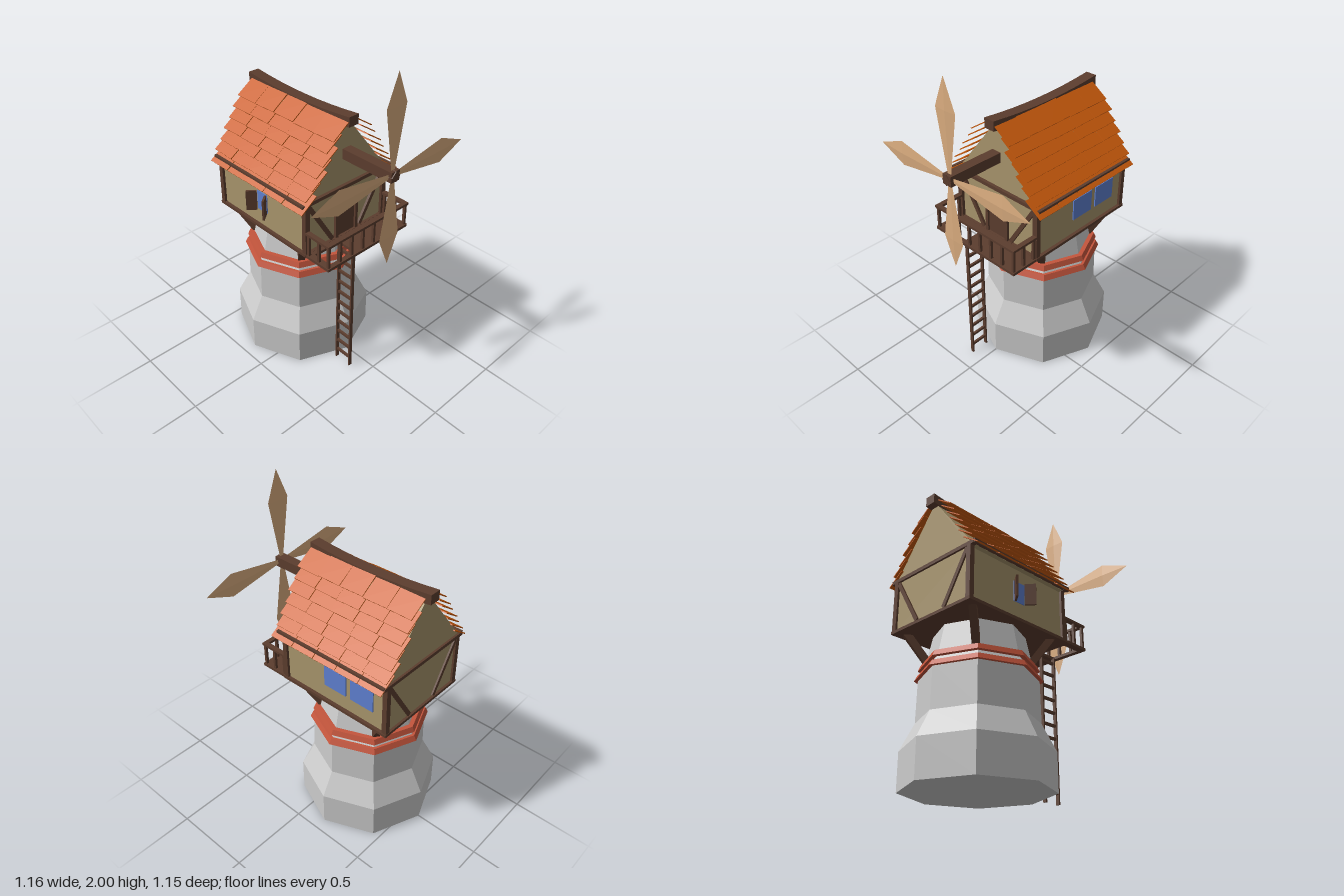
import * as THREE from 'three';

const mat = (color) => new THREE.MeshStandardMaterial({ color, flatShading: true });

export function createModel() {
  const model = new THREE.Group();
  const stone = mat(0xcccccc), wood = mat(0x5c3d2e), plaster = mat(0xa8956c);
  const tileMat = mat(0xc85a0c), brick = mat(0xc4553c), glass = mat(0x5f80d0), sailMat = mat(0xdcae80);

  const add = (name, geo, material, x = 0, y = 0, z = 0, parent = model) => {
    const m = new THREE.Mesh(geo, material);
    m.name = name;
    m.position.set(x, y, z);
    parent.add(m);
    return m;
  };
  const group = (name) => {
    const g = new THREE.Group();
    g.name = name;
    model.add(g);
    return g;
  };
  // box given by its minimum and maximum corners
  const span = (name, material, x0, x1, y0, y1, z0, z1, parent) =>
    add(name, new THREE.BoxGeometry(x1 - x0, y1 - y0, z1 - z0), material,
      (x0 + x1) / 2, (y0 + y1) / 2, (z0 + z1) / 2, parent);
  // square timber between two points
  const beam = (name, a, b, t, parent) => {
    const p = new THREE.Vector3(...a), q = new THREE.Vector3(...b);
    const m = add(name, new THREE.BoxGeometry(t, t, p.distanceTo(q)), wood, 0, 0, 0, parent);
    m.position.copy(p).lerp(q, 0.5);
    m.lookAt(q);
    return m;
  };
  let seed = 7;
  const jitter = (s) => {
    seed = (seed * 16807) % 2147483647;
    return (seed / 2147483647 - 0.5) * s;
  };

  // octagonal stone tower with two brick bands
  const cx = -0.155;
  const profile = [[0, 0], [0.425, 0], [0.425, 0.22], [0.345, 0.375], [0.34, 0.63], [0.305, 0.7], [0.265, 0.89], [0, 0.89]]
    .map(([r, y]) => new THREE.Vector2(r, y));
  add('tower', new THREE.LatheGeometry(profile, 8), stone, cx);
  add('lowerBand', new THREE.CylinderGeometry(0.345, 0.362, 0.033, 8), brick, cx, 0.635);
  add('upperBand', new THREE.CylinderGeometry(0.33, 0.343, 0.033, 8), brick, cx, 0.695);

  // struts from tower to house
  for (const sx of [-1, 1]) for (const sz of [-1, 1])
    beam('strut', [cx + sx * 0.21, 0.72, sz * 0.195], [cx + sx * 0.315, 0.9, sz * 0.275], 0.042);

  // house body with gables
  const outline = new THREE.Shape([[-0.305, 0.9], [0.305, 0.9], [0.305, 1.21], [0.33, 1.215], [0, 1.635], [-0.33, 1.215], [-0.305, 1.21]]
    .map(([z, y]) => new THREE.Vector2(z, y)));
  const body = new THREE.ExtrudeGeometry(outline, { depth: 0.745, bevelEnabled: false });
  body.rotateY(Math.PI / 2);
  add('walls', body, plaster, -0.525);
  span('houseFloor', wood, -0.54, 0.24, 0.885, 0.903, -0.325, 0.325);

  // timber frame
  const frame = group('timberFrame');
  for (const sz of [-1, 1]) {
    for (const x of [-0.523, 0.223]) {
      span('cornerPost', wood, x - 0.015, x + 0.015, 0.9, 1.22, sz * 0.305 - 0.016, sz * 0.305 + 0.016, frame);
      beam('brace', [x, 1.205, sz * 0.29], [x, 0.91, sz * 0.11], 0.025, frame);
    }
    span('eaveBeam', wood, -0.535, 0.25, 1.213, 1.238, sz * 0.342 - 0.009, sz * 0.342 + 0.009, frame);
  }
  for (const x of [-0.523, 0.225])
    span('gableBeam', wood, x - 0.015, x + 0.015, 1.212, 1.234, -0.345, 0.345, frame);

  // door onto the balcony
  span('door', wood, 0.21, 0.226, 0.9, 1.15, -0.07, 0.07);
  for (const s of [-1, 1]) span('doorJamb', wood, 0.215, 0.238, 0.9, 1.16, s * 0.078 - 0.01, s * 0.078 + 0.01);
  span('doorLintel', wood, 0.215, 0.238, 1.14, 1.162, -0.088, 0.088);

  // windows and open shutters
  span('frontWindow', glass, -0.19, -0.105, 1.005, 1.13, 0.3, 0.31);
  for (const [x, turn] of [[-0.206, 0.9], [-0.09, -0.9]]) {
    const s = add('shutter', new THREE.BoxGeometry(0.065, 0.13, 0.012), wood, x, 1.067, 0.342);
    s.rotation.y = turn;
  }
  for (const x of [-0.16, -0.355])
    span('backWindow', glass, x - 0.08, x + 0.08, 1.0, 1.135, -0.312, -0.3);

  // overlapping roof tiles
  const roof = group('roofTiles');
  for (const side of [-1, 1])
    for (let row = 0; row < 7; row++)
      for (let col = 0; col < 5; col++) {
        const t = add('tile', new THREE.BoxGeometry(0.158, 0.006, 0.132), tileMat,
          -0.458 + col * 0.161 + (row % 2 ? -0.006 : 0.002) + jitter(0.006),
          1.242 + row * 0.059 + jitter(0.004),
          side * (0.32 - row * 0.038), roof);
        t.rotation.set(side * 0.6, jitter(0.04), 0);
      }

  // sagging ridge beam
  const ridge = new THREE.BoxGeometry(0.835, 0.06, 0.07, 8, 1, 1);
  const rp = ridge.attributes.position;
  for (let i = 0; i < rp.count; i++) rp.setY(i, rp.getY(i) + 0.025 * (rp.getX(i) / 0.4175) ** 2);
  ridge.computeVertexNormals();
  add('ridgeBeam', ridge, wood, -0.148, 1.61);

  // balcony with an opening for the ladder
  const balcony = group('balcony');
  span('deck', wood, 0.235, 0.42, 0.885, 0.902, -0.322, 0.095, balcony);
  span('deckOuterEdge', wood, 0.39, 0.42, 0.885, 0.902, 0.095, 0.322, balcony);
  span('deckEndEdge', wood, 0.235, 0.39, 0.885, 0.902, 0.28, 0.322, balcony);
  span('deckInnerEdge', wood, 0.235, 0.268, 0.885, 0.902, 0.095, 0.28, balcony);
  span('outerRail', wood, 0.392, 0.42, 1.037, 1.052, -0.322, 0.322, balcony);
  for (let i = 0; i < 8; i++) {
    const z = -0.308 + i * 0.088;
    span('spindle', wood, 0.398, 0.414, 0.9, 1.04, z - 0.008, z + 0.008, balcony);
  }
  for (const s of [-1, 1]) {
    span('endRail', wood, 0.235, 0.395, 1.037, 1.052, s * 0.307 - 0.015, s * 0.307 + 0.015, balcony);
    for (const x of [0.25, 0.33])
      span('endSpindle', wood, x - 0.008, x + 0.008, 0.9, 1.04, s * 0.307 - 0.008, s * 0.307 + 0.008, balcony);
  }

  // ladder
  const ladder = group('ladder');
  for (const x of [0.274, 0.386]) span('ladderRail', wood, x - 0.005, x + 0.005, 0, 0.89, 0.084, 0.106, ladder);
  for (let i = 0; i < 11; i++)
    span('rung', wood, 0.274, 0.386, 0.055 + i * 0.079, 0.071 + i * 0.079, 0.088, 0.102, ladder);

  // axle, hub and four sails
  const axleY = 1.428;
  span('axle', wood, 0.15, 0.575, axleY - 0.031, axleY + 0.031, -0.031, 0.031).rotation.x = 0;
  const hub = add('hub', new THREE.BoxGeometry(0.025, 0.045, 0.045), wood, 0.568, axleY);
  hub.rotation.x = Math.PI / 4;
  const sailProfile = [[0, 0], [0.012, 0.02], [0.075, 0.39], [0, 0.573]].map(([r, y]) => new THREE.Vector2(r, y));
  const sails = group('sails');
  sails.position.set(0.555, axleY, 0);
  for (let i = 0; i < 4; i++) {
    const s = add('sail', new THREE.LatheGeometry(sailProfile, 4), sailMat, 0, 0, 0, sails);
    s.scale.x = 0.08;
    s.rotation.x = i * Math.PI / 2;
  }
  return model;
}
